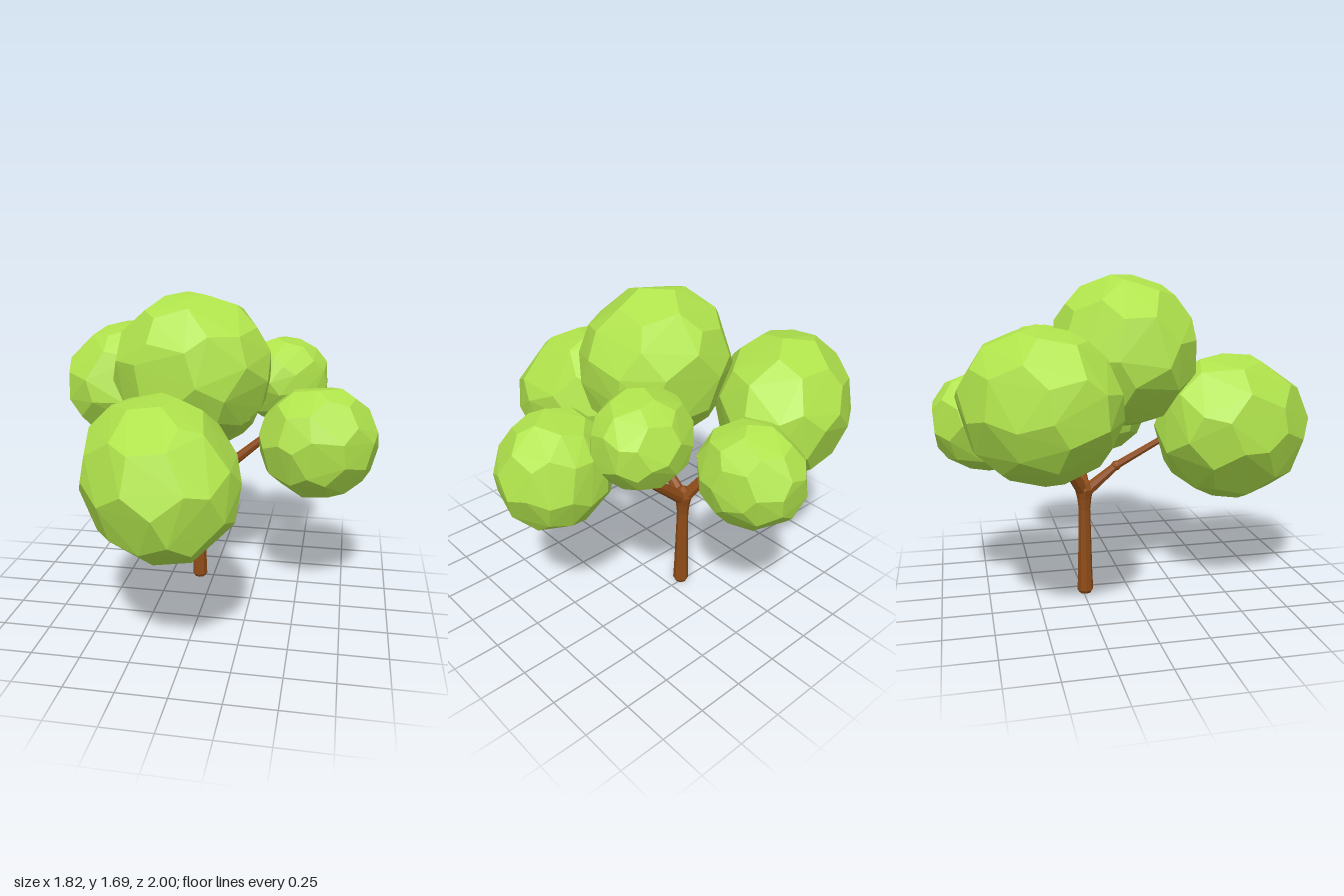
import * as THREE from 'three';
import { ConvexGeometry } from 'three/addons/geometries/ConvexGeometry.js';

const V = (a) => new THREE.Vector3(...a);
const leaf = new THREE.MeshStandardMaterial({ color: 0xb0e34c, flatShading: true });
const bark = new THREE.MeshStandardMaterial({ color: 0x8f4c18, flatShading: true });

// Faceted ball: points a third along each icosahedron edge, nudged a little so facets vary
function facetedBall() {
  const p = new THREE.IcosahedronGeometry(1, 0).attributes.position;
  const points = [];
  for (let i = 0; i < p.count; i += 3) {
    for (let j = 0; j < 3; j++) {
      const a = new THREE.Vector3().fromBufferAttribute(p, i + j);
      const b = new THREE.Vector3().fromBufferAttribute(p, i + (j + 1) % 3);
      const k = (i + j) * 2.4;
      const nudge = V([Math.sin(k), Math.sin(k * 1.7 + 1), Math.sin(k * 2.3 + 2)]);
      points.push(a.lerp(b, 1 / 3).addScaledVector(nudge, 0.05).normalize());
    }
  }
  return new ConvexGeometry(points);
}

// Leaf clump: turn spins the facets, stretch lengthens it along a dipped heading,
// and the result is fitted to the box from lo to hi
function clump(ball, name, lo, hi, turn, { heading = 0, stretch = 1, dip = 0 } = {}) {
  const g = ball.clone();
  g.rotateX(turn).rotateZ(turn * 1.7).scale(1, 1, stretch).rotateX(dip).rotateY(heading);
  g.computeBoundingBox();
  const size = g.boundingBox.getSize(new THREE.Vector3());
  const mid = g.boundingBox.getCenter(new THREE.Vector3());
  const fit = V(hi).sub(V(lo)).divide(size);
  const c = V(lo).add(V(hi)).multiplyScalar(0.5);
  g.translate(-mid.x, -mid.y, -mid.z).scale(fit.x, fit.y, fit.z).translate(c.x, c.y, c.z);
  const m = new THREE.Mesh(g, leaf);
  m.name = name;
  return m;
}

// Tapered eight-sided limb between two points
function limb(name, a, b, ra, rb) {
  const from = V(a), dir = V(b).sub(from);
  const m = new THREE.Mesh(new THREE.CylinderGeometry(rb, ra, dir.length(), 8), bark);
  m.position.copy(from).addScaledVector(dir, 0.5);
  m.quaternion.setFromUnitVectors(new THREE.Vector3(0, 1, 0), dir.normalize());
  m.name = name;
  return m;
}

function joint(p, r) {
  const m = new THREE.Mesh(new THREE.IcosahedronGeometry(r, 1), bark);
  m.position.set(...p);
  m.name = 'branchJoint';
  return m;
}

export function createModel() {
  const tree = new THREE.Group();
  tree.name = 'tree';

  // Trunk with a bevelled foot and a swelling at the fork
  const profile = [[0, 0], [0.032, 0], [0.043, 0.018], [0.039, 0.12], [0.031, 0.47], [0.038, 0.53], [0.05, 0.58], [0.035, 0.62], [0, 0.64]];
  const trunk = new THREE.Mesh(
    new THREE.LatheGeometry(profile.map(([r, y]) => new THREE.Vector2(r, y)), 8), bark);
  trunk.position.set(-0.08, 0, -0.24);
  trunk.name = 'trunk';
  tree.add(trunk);

  // Three main branches whose twigs end inside the clumps
  const branches = new THREE.Group();
  branches.name = 'branches';
  const root = [-0.08, 0.56, -0.24];
  const forks = [
    { at: [-0.09, 0.7, -0.07], tips: [[-0.13, 0.86, 0.2]] },
    { at: [0.29, 0.88, -0.25], tips: [[0.45, 0.92, -0.14], [0.33, 1.08, -0.31]] },
    { at: [-0.23, 0.86, -0.42], tips: [[-0.36, 0.98, -0.46], [-0.1, 0.93, -0.6]] },
  ];
  for (const { at, tips } of forks) {
    branches.add(limb('mainBranch', root, at, 0.036, 0.022), joint(at, 0.027));
    for (const tip of tips) branches.add(limb('twig', at, tip, 0.022, 0.017));
  }
  tree.add(branches);

  // Leaf clumps
  const ball = facetedBall();
  const crown = new THREE.Group();
  crown.name = 'crown';
  crown.add(
    clump(ball, 'topLeaves', [-0.475, 0.91, -0.4], [0.335, 1.69, 0.345], 0.4, { heading: 2.36, stretch: 1.05 }),
    clump(ball, 'frontLeaves', [-0.53, 0.51, 0.11], [0.28, 1.275, 1.0], 1.1, { heading: 0.6, stretch: 1.28, dip: 0.15 }),
    clump(ball, 'rightLeaves', [-0.91, 0.745, -0.89], [-0.1, 1.475, -0.15], 0.8, { heading: -0.89, stretch: 1.25 }),
    clump(ball, 'backLeaves', [-0.29, 0.7, -1.0], [0.205, 1.235, -0.46], 2.0),
    clump(ball, 'leftBackLeaves', [0.105, 0.95, -0.665], [0.615, 1.415, -0.16], 2.7, { heading: 2.36, stretch: 1.13 }),
    clump(ball, 'leftLeaves', [0.285, 0.635, -0.31], [0.905, 1.225, 0.245], 1.5, { heading: 2.36, stretch: 1.07 }),
  );
  tree.add(crown);
  return tree;
}
